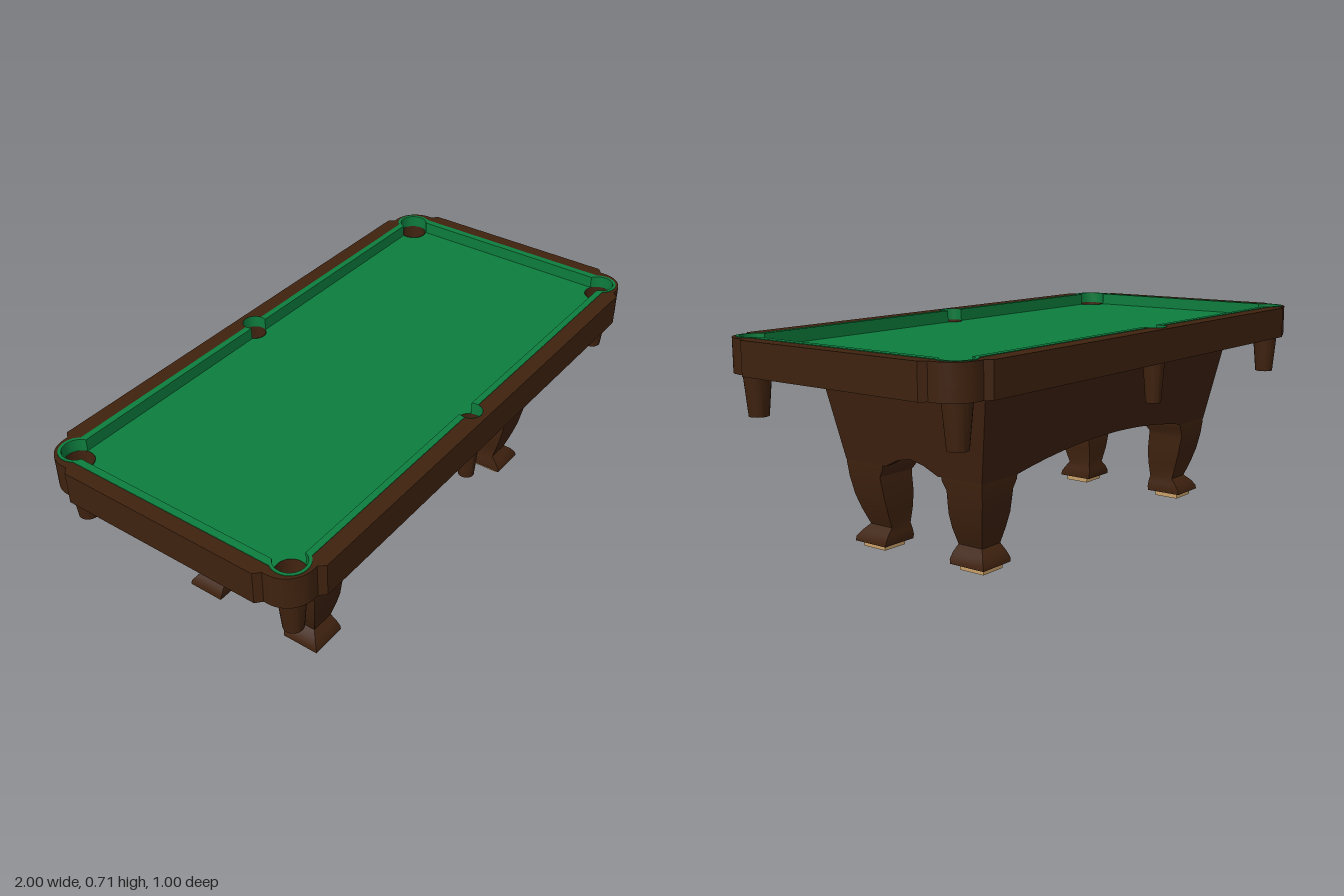
import * as THREE from 'three';
import { toCreasedNormals } from 'three/addons/utils/BufferGeometryUtils.js';

const wood = new THREE.MeshStandardMaterial({ color: 0x3f220f, side: THREE.DoubleSide });
wood.name = 'dark wood';
const felt = new THREE.MeshStandardMaterial({ color: 0x0d7d3d });
felt.name = 'green felt';
const pale = new THREE.MeshStandardMaterial({ color: 0xc9a069 });
pale.name = 'pale wood';

const CORNER = { x: 0.9, z: 0.408 };
const SIDE = { x: -0.04, z: 0.44 };

const mirrorX = (pts) => pts.map(([x, z]) => [-x, z]).reverse();
const mirrorZ = (pts) => pts.map(([x, z]) => [x, -z]).reverse();
const vectors = (pts) => pts.map(([x, z]) => new THREE.Vector2(x, z));

function arc(cx, cz, r, a0, a1, n = 18) {
  return Array.from({ length: n + 1 }, (_, i) => {
    const a = a0 + ((a1 - a0) * i) / n;
    return [cx + r * Math.cos(a), cz + r * Math.sin(a)];
  });
}

// Rectangle widened by round bays at the six pockets
function pocketOutline(hx, hz, rc, rs) {
  const corner = arc(CORNER.x, CORNER.z, rc,
    -Math.acos((hx - CORNER.x) / rc), Math.PI - Math.asin((hz - CORNER.z) / rc));
  const a = Math.asin((hz - SIDE.z) / rs);
  const half = [...corner, ...arc(SIDE.x, SIDE.z, rs, a, Math.PI - a), ...mirrorX(corner)];
  return vectors([...half, ...mirrorZ(half)]);
}

// Outer edge with set-back rounded corners
function tableOutline() {
  const corner = [[1, 0.357], [0.98, 0.375], ...arc(0.89, 0.39, 0.09, 0, Math.PI / 2, 12),
    [0.875, 0.48], [0.857, 0.5]];
  const half = [...corner, ...mirrorX(corner)];
  return vectors([...half, ...mirrorZ(half)]);
}

const pockets = [];
for (const sz of [1, -1]) {
  for (const sx of [1, -1]) pockets.push({ x: sx * CORNER.x, z: sz * CORNER.z, s: 1 });
  pockets.push({ x: SIDE.x, z: sz * SIDE.z, s: 0.81 });
}
const pocketHoles = () => pockets.map((p) => vectors(arc(p.x, p.z, 0.048 * p.s, 0, Math.PI * 2, 28).slice(0, -1)));

// Horizontal slab from a plan outline
function slab(name, outline, holes, y0, y1, material) {
  const shape = new THREE.Shape(outline);
  for (const h of holes) shape.holes.push(new THREE.Path(h));
  const geo = new THREE.ExtrudeGeometry(shape, { depth: y1 - y0, bevelEnabled: false });
  geo.rotateX(Math.PI / 2).translate(0, y1, 0);
  return part(name, toCreasedNormals(geo, 0.6), material);
}

function part(name, geo, material) {
  const mesh = new THREE.Mesh(geo, material);
  mesh.name = name;
  return mesh;
}

// Leaning apron panel with an arched lower edge
function apronPanel(name, low, high, offLow, offHigh, arch, turn) {
  const shape = new THREE.Shape(vectors([
    [-low, 0.295], ...arch, [low, 0.295], [high, 0.6], [-high, 0.6]]));
  const geo = new THREE.ExtrudeGeometry(shape, { depth: 0.03, bevelEnabled: false });
  const p = geo.attributes.position;
  for (let i = 0; i < p.count; i++) {
    const t = (p.getY(i) - 0.295) / 0.305;
    p.setZ(i, p.getZ(i) - 0.03 + offLow + (offHigh - offLow) * t);
  }
  geo.computeVertexNormals();
  geo.rotateY(turn);
  return part(name, geo, wood);
}

// Leg sections: height, inner x, outer x, inner z, outer z
const LEG = [
  [0.02, 0.505, 0.637, 0.138, 0.272], [0.035, 0.505, 0.635, 0.136, 0.27],
  [0.055, 0.508, 0.622, 0.138, 0.256], [0.076, 0.513, 0.6, 0.142, 0.237],
  [0.13, 0.506, 0.622, 0.137, 0.255], [0.18, 0.502, 0.637, 0.136, 0.269],
  [0.24, 0.504, 0.648, 0.14, 0.28], [0.255, 0.502, 0.65, 0.141, 0.281],
  [0.282, 0.488, 0.653, 0.125, 0.284], [0.296, 0.485, 0.654, 0.124, 0.284],
  [0.36, 0.485, 0.655, 0.124, 0.285],
];

function leg(sx, sz) {
  const n = LEG.length - 1;
  const geo = new THREE.BoxGeometry(1, 1, 1, 1, n, 1);
  const p = geo.attributes.position;
  for (let i = 0; i < p.count; i++) {
    const [y, xi, xo, zi, zo] = LEG[Math.round((p.getY(i) + 0.5) * n)];
    const outX = p.getX(i) > 0 === sx > 0;
    const outZ = p.getZ(i) > 0 === sz > 0;
    p.setXYZ(i, sx * (outX ? xo : xi), y, sz * (outZ ? zo : zi));
  }
  return part('leg', toCreasedNormals(geo, 0.5), wood);
}

// Hollow tapered pocket cup
function pocketCup({ x, z, s }) {
  const profile = [[0, 0.46], [0.032, 0.46], [0.045, 0.6], [0.048, 0.668], [0.0465, 0.672],
    [0.043, 0.6], [0.028, 0.475], [0, 0.475]].map(([r, y]) => new THREE.Vector2(r * s, y));
  const geo = toCreasedNormals(new THREE.LatheGeometry(profile, 28), 0.6);
  geo.translate(x, 0, z);
  return part('pocketCup', geo, wood);
}

export function createModel() {
  const table = new THREE.Group();
  table.name = 'poolTable';

  // Table top: base board, rail frame, cloth bed and cushions
  const bay = () => pocketOutline(0.95, 0.445, 0.06, 0.0405);
  table.add(
    slab('baseBoard', tableOutline(), pocketHoles(), 0.6, 0.64, wood),
    slab('railFrame', tableOutline(), [bay()], 0.64, 0.71, wood),
    slab('bed', bay(), pocketHoles(), 0.645, 0.67, felt),
    slab('cushions', bay(), [pocketOutline(0.925, 0.423, 0.05, 0.04)], 0.668, 0.712, felt),
  );
  for (const p of pockets) table.add(pocketCup(p));

  // Hollow apron of four arched panels
  const longArch = Array.from({ length: 21 }, (_, i) => {
    const u = i / 10 - 1;
    return [0.49 * u, 0.295 + 0.048 * (1 - u * u)];
  });
  const endArch = [[-0.11, 0.295], [-0.055, 0.322], [0, 0.335], [0.055, 0.322], [0.11, 0.295]];
  for (const [name, turn] of [['frontApron', 0], ['backApron', Math.PI]]) {
    table.add(apronPanel(name, 0.655, 0.705, 0.285, 0.345, longArch, turn));
  }
  for (const [name, turn] of [['leftApron', Math.PI / 2], ['rightApron', -Math.PI / 2]]) {
    table.add(apronPanel(name, 0.285, 0.345, 0.655, 0.705, endArch, turn));
  }

  // Legs with pale foot pads
  for (const sx of [1, -1]) {
    for (const sz of [1, -1]) {
      const pad = part('footPad', new THREE.BoxGeometry(0.093, 0.022, 0.094), pale);
      pad.position.set(sx * 0.569, 0.011, sz * 0.207);
      table.add(leg(sx, sz), pad);
    }
  }
  return table;
}
